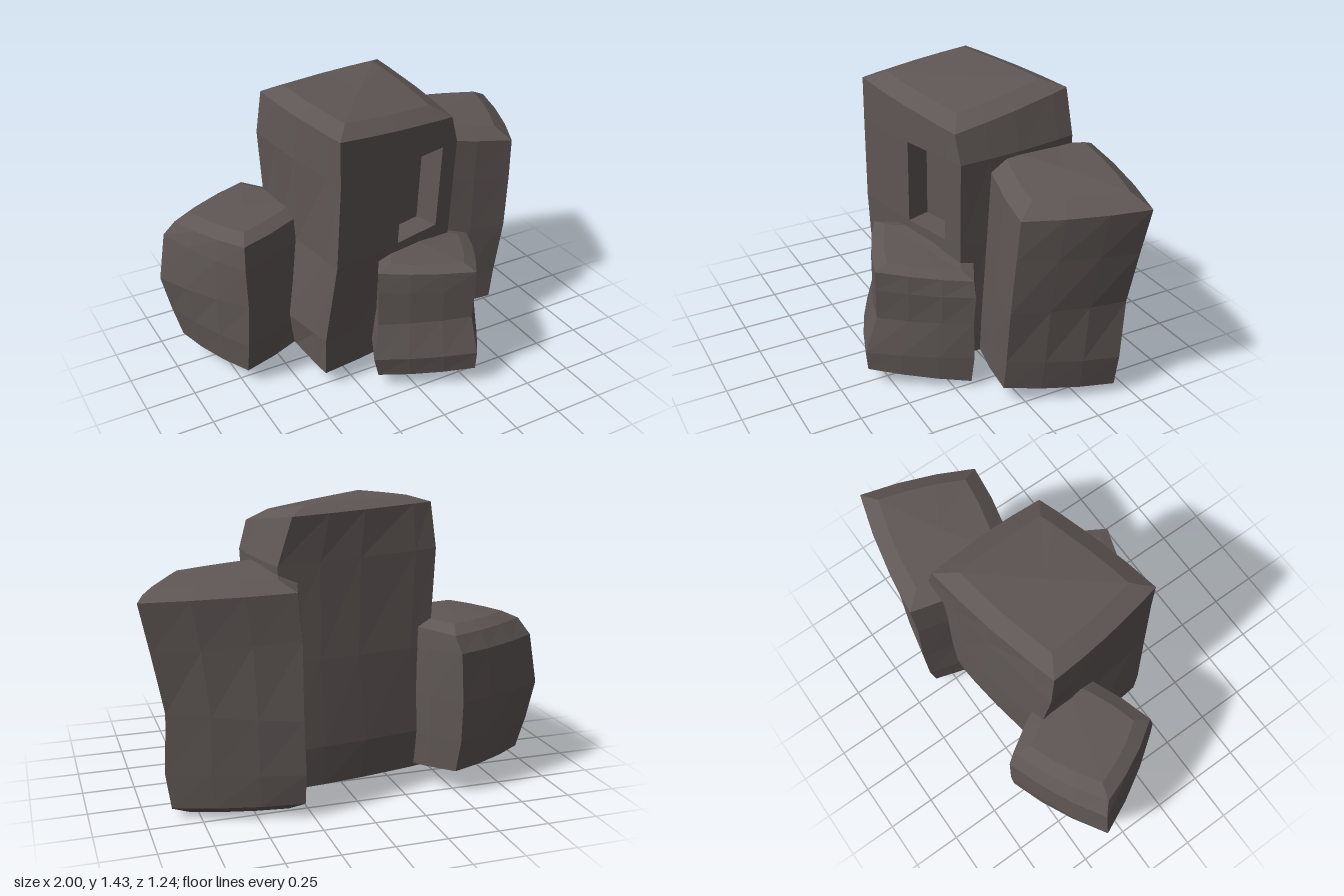
import * as THREE from 'three';

const stone = new THREE.MeshStandardMaterial({ color: 0x5f5755 });
stone.name = 'dark stone';

// One boulder lofted through four-cornered levels, listed bottom to top.
// Corner order: front-left, front-right, back-right, back-left, each [x, y, z].
function rock(name, levels, { steps = [0, 0.33, 0.67], bulge = 0.02, rise = 0.03, drop = 0.03, recess = null }) {
  const positions = [];
  const quad = (a, b, c, d) => [a, b, c, a, c, d].forEach(p => positions.push(p.x, p.y, p.z));

  // Each level becomes a ring whose sides swell slightly between the corners
  const rings = levels.map(corners => {
    const pts = corners.map(c => new THREE.Vector3(...c));
    const ring = [];
    pts.forEach((a, i) => {
      const b = pts[(i + 1) % 4];
      const out = new THREE.Vector3(a.z - b.z, 0, b.x - a.x).normalize();
      for (const t of steps) {
        ring.push(a.clone().lerp(b, t).addScaledVector(out, bulge * 4 * t * (1 - t)));
      }
    });
    return ring;
  });
  const n = rings[0].length;

  // Sides, with an optional pocket in one cell
  for (let r = 0; r < rings.length - 1; r++) {
    for (let i = 0; i < n; i++) {
      const j = (i + 1) % n;
      const cell = [rings[r][i], rings[r][j], rings[r + 1][j], rings[r + 1][i]];
      if (recess && recess.row === r && recess.column === i) {
        const inner = cell.map(p => p.clone().add(recess.offset));
        cell.forEach((p, k) => quad(p, cell[(k + 1) % 4], inner[(k + 1) % 4], inner[k]));
        quad(...inner);
      } else quad(...cell);
    }
  }

  // Domed caps: bevel ring, then a fan to the middle
  const cap = (ring, lift) => {
    const centre = ring.reduce((s, p) => s.add(p), new THREE.Vector3()).divideScalar(n);
    const inner = ring.map(p => {
      const q = p.clone().lerp(centre, 0.25);
      q.y += lift;
      return q;
    });
    centre.y += lift * 1.2;
    for (let i = 0; i < n; i++) {
      const j = (i + 1) % n;
      const [a, b] = lift > 0 ? [i, j] : [j, i];
      quad(ring[a], ring[b], inner[b], inner[a]);
      [inner[a], inner[b], centre].forEach(p => positions.push(p.x, p.y, p.z));
    }
  };
  cap(rings[rings.length - 1], rise);
  cap(rings[0], -drop);

  const geometry = new THREE.BufferGeometry();
  geometry.setAttribute('position', new THREE.Float32BufferAttribute(positions, 3));
  geometry.computeVertexNormals();
  const mesh = new THREE.Mesh(geometry, stone);
  mesh.name = name;
  return mesh;
}

export function createModel() {
  const group = new THREE.Group();
  group.name = 'rockCluster';

  // Tall boulder with a pocket in its front face
  group.add(rock('tallRock', [
    [[-0.40, 0.08, 0.27], [0.35, 0.07, 0.13], [0.33, 0.08, -0.45], [-0.41, 0.08, -0.34]],
    [[-0.40, 0.28, 0.28], [0.36, 0.28, 0.15], [0.36, 0.28, -0.47], [-0.49, 0.28, -0.36]],
    [[-0.35, 0.71, 0.32], [0.38, 0.71, 0.16], [0.36, 0.71, -0.46], [-0.41, 0.71, -0.37]],
    [[-0.33, 1.14, 0.33], [0.40, 1.14, 0.17], [0.37, 1.16, -0.45], [-0.45, 1.18, -0.33]],
    [[-0.33, 1.36, 0.33], [0.36, 1.28, 0.18], [0.30, 1.38, -0.45], [-0.43, 1.40, -0.30]],
  ], {
    steps: [0, 0.25, 0.5, 0.86], bulge: 0.015, rise: 0.04, drop: 0.03,
    recess: { row: 2, column: 2, offset: new THREE.Vector3(-0.04, 0, -0.12) },
  }));

  // Medium boulder on the model's left
  group.add(rock('leftRock', [
    [[0.17, 0.07, -0.03], [0.71, 0.09, 0.10], [0.88, 0.05, -0.42], [0.29, 0.07, -0.60]],
    [[0.17, 0.25, -0.03], [0.73, 0.25, 0.10], [0.905, 0.22, -0.42], [0.29, 0.22, -0.62]],
    [[0.20, 0.54, -0.04], [0.77, 0.54, 0.11], [0.895, 0.52, -0.44], [0.30, 0.48, -0.62]],
    [[0.20, 0.85, -0.05], [0.79, 0.82, 0.10], [0.95, 0.80, -0.45], [0.30, 0.85, -0.60]],
    [[0.22, 1.10, -0.05], [0.80, 1.02, 0.09], [1.00, 1.04, -0.46], [0.32, 1.07, -0.60]],
  ], { bulge: 0.02, rise: 0.05, drop: 0.055 }));

  // Rounded low boulder on the model's right
  group.add(rock('rightRock', [
    [[-0.73, 0.08, 0.06], [-0.25, 0.08, -0.14], [-0.48, 0.12, -0.57], [-0.92, 0.12, -0.35]],
    [[-0.73, 0.25, 0.09], [-0.23, 0.25, -0.14], [-0.49, 0.28, -0.60], [-0.96, 0.28, -0.37]],
    [[-0.72, 0.48, 0.10], [-0.22, 0.48, -0.14], [-0.49, 0.48, -0.61], [-1.00, 0.47, -0.38]],
    [[-0.72, 0.68, 0.09], [-0.23, 0.70, -0.13], [-0.48, 0.72, -0.60], [-0.96, 0.72, -0.37]],
    [[-0.71, 0.80, 0.07], [-0.25, 0.82, -0.13], [-0.46, 0.80, -0.56], [-0.91, 0.80, -0.33]],
  ], { bulge: 0.02, rise: 0.035, drop: 0.02 }));

  // Small boulder in front, pinched at half height
  group.add(rock('frontRock', [
    [[-0.17, 0.07, 0.40], [0.27, 0.09, 0.61], [0.52, 0.03, 0.17], [0.08, 0.06, -0.03]],
    [[-0.20, 0.18, 0.41], [0.27, 0.19, 0.62], [0.53, 0.17, 0.16], [0.06, 0.18, -0.04]],
    [[-0.16, 0.36, 0.38], [0.27, 0.37, 0.555], [0.52, 0.36, 0.16], [0.08, 0.36, -0.03]],
    [[-0.16, 0.54, 0.38], [0.28, 0.53, 0.56], [0.52, 0.50, 0.15], [0.10, 0.54, -0.02]],
    [[-0.16, 0.65, 0.37], [0.28, 0.63, 0.56], [0.50, 0.58, 0.15], [0.12, 0.65, 0.00]],
  ], { bulge: 0.015, rise: 0.02, drop: 0.025 }));

  return group;
}
